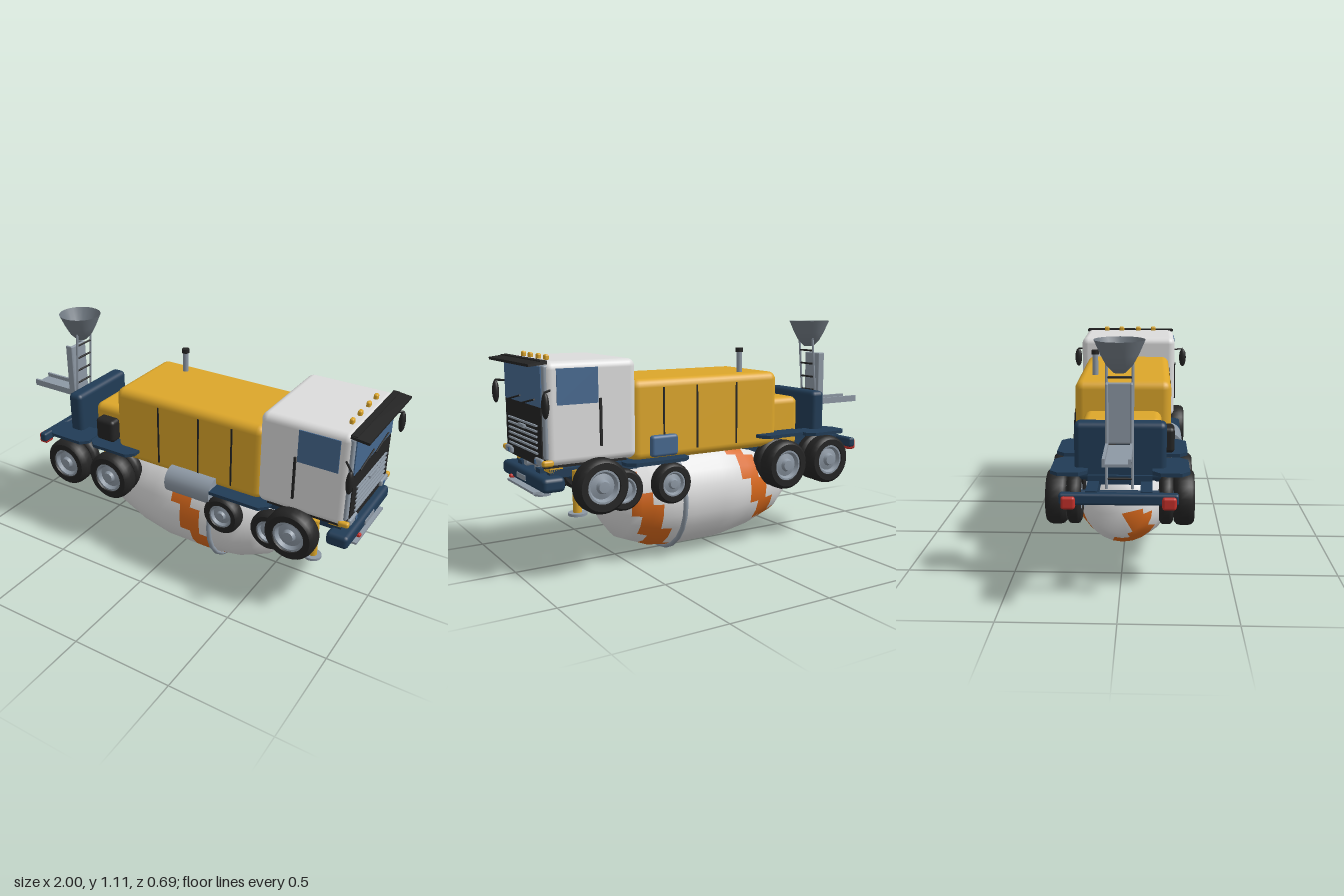
import * as THREE from 'three';
import { toCreasedNormals } from 'three/addons/utils/BufferGeometryUtils.js';
import { RoundedBoxGeometry } from 'three/addons/geometries/RoundedBoxGeometry.js';

const material = (name, color, side = THREE.FrontSide) => {
  const m = new THREE.MeshStandardMaterial({ color, side });
  m.name = name;
  return m;
};
const white = material('white paint', 0xdcdcdc);
const yellow = material('yellow paint', 0xdca62a);
const navy = material('navy paint', 0x213c56);
const steel = material('steel grey', 0x8d98a4);
const black = material('black rubber', 0x242424);
const orange = material('orange stripe', 0xd9691c);
const glass = material('blue glass', 0x46688f);
const red = material('red lamp', 0xc4302a);
const sheet = material('sheet metal', 0x707982, THREE.DoubleSide);

export function createModel() {
  const model = new THREE.Group();
  model.name = 'mixerTruck';

  const add = (name, geometry, mat, x = 0, y = 0, z = 0, parent = model) => {
    const mesh = new THREE.Mesh(geometry, mat);
    mesh.name = name;
    mesh.position.set(x, y, z);
    parent.add(mesh);
    return mesh;
  };
  // boxes are given by their limits on each axis
  const box = (name, mat, [x0, x1], [y0, y1], [z0, z1], r = 0) => {
    const s = [x1 - x0, y1 - y0, z1 - z0];
    const g = r ? new RoundedBoxGeometry(...s, 3, r) : new THREE.BoxGeometry(...s);
    return add(name, g, mat, (x0 + x1) / 2, (y0 + y1) / 2, (z0 + z1) / 2);
  };
  const rod = (name, mat, a, b, r, sides = 8) => {
    const p = new THREE.Vector3(...a), q = new THREE.Vector3(...b);
    const mesh = add(name, new THREE.CylinderGeometry(r, r, p.distanceTo(q), sides), mat);
    mesh.position.copy(p).lerp(q, 0.5);
    mesh.quaternion.setFromUnitVectors(new THREE.Vector3(0, 1, 0), q.sub(p).normalize());
    return mesh;
  };
  const profile = (pts) => pts.map(([r, h]) => new THREE.Vector2(r, h));
  const both = (fn) => [1, -1].forEach(fn);
  const span = (s, a, b) => (s > 0 ? [a, b] : [-b, -a]);

  // Mixing drum with a stepped spiral stripe
  const keys = [[-0.48, 0], [-0.479, 0.1], [-0.37, 0.18], [-0.2, 0.235], [-0.03, 0.265], [0.25, 0.267],
    [0.36, 0.25], [0.5, 0.195], [0.56, 0.12], [0.585, 0.05], [0.59, 0]];
  const pts = [];
  keys.forEach(([x, r], i) => {
    pts.push([r, x]);
    if (i === keys.length - 1) return;
    const [x1, r1] = keys[i + 1];
    const n = Math.max(1, Math.round((x1 - x) / 0.055));
    for (let k = 1; k < n; k++) pts.push([r + (r1 - r) * k / n, x + (x1 - x) * k / n]);
  });
  const seg = 24, rows = pts.length - 1, pitch = 0.65;
  const drum = new THREE.LatheGeometry(profile(pts), seg).rotateZ(-Math.PI / 2);
  const plain = [], striped = [], src = drum.index.array;
  for (let i = 0; i < seg; i++) for (let j = 0; j < rows; j++) {
    const d = (pts[j][1] + pts[j + 1][1]) / 2 - 0.13 - pitch * (i + 0.5) / seg;
    const off = Math.abs(d - pitch * Math.round(d / pitch));
    const k = (i * rows + j) * 6;
    (off < 0.06 ? striped : plain).push(...src.slice(k, k + 6));
  }
  drum.setIndex([...plain, ...striped]);
  drum.addGroup(0, plain.length, 0);
  drum.addGroup(plain.length, striped.length, 1);
  add('drum', drum, [white, orange], 0, 0.292, 0);
  add('drumRing', new THREE.TorusGeometry(0.272, 0.012, 8, 24).rotateY(Math.PI / 2), steel, 0.255, 0.292, 0);

  // Main body and rear housing
  box('body', yellow, [-0.315, 0.505], [0.5, 0.88], [-0.225, 0.225], 0.04);
  box('rearHousing', yellow, [-0.485, -0.28], [0.48, 0.74], [-0.18, 0.18], 0.035);
  both((s) => [-0.06, 0.165, 0.345].forEach((x) =>
    box('bodySeam', black, [x - 0.004, x + 0.004], [0.54, 0.84], span(s, 0.222, 0.229))));
  rod('exhaustPipe', steel, [-0.135, 0.87, -0.14], [-0.135, 0.99, -0.14], 0.014, 16);
  rod('exhaustCap', black, [-0.135, 0.98, -0.14], [-0.135, 1.0, -0.14], 0.019, 16);
  box('batteryBox', black, [-0.44, -0.33], [0.57, 0.69], [0.17, 0.24], 0.02);
  add('airTank', new THREE.CylinderGeometry(0.07, 0.07, 0.25, 24).rotateZ(Math.PI / 2), steel, 0.14, 0.482, 0.225);
  box('toolBox', glass, [0.28, 0.42], [0.52, 0.62], [-0.25, -0.2], 0.015);

  // Chassis
  both((s) => {
    box('chassisRail', navy, [-0.8, 0.92], [0.455, 0.505], span(s, 0.09, 0.14));
    box('sideSill', navy, [0.28, 0.9], [0.475, 0.51], span(s, 0.17, 0.21));
  });
  box('rearDeck', navy, [-0.66, -0.48], [0.49, 0.53], [-0.14, 0.14]);
  box('rearCabinet', navy, [-0.645, -0.565], [0.5, 0.76], [-0.2, 0.2], 0.025);
  box('rearBumper', navy, [-0.825, -0.785], [0.45, 0.5], [-0.25, 0.25], 0.012);
  both((s) => box('tailLamp', red, [-0.84, -0.79], [0.435, 0.49], span(s, 0.18, 0.24), 0.012));

  // Wheels with a dished hub, built around +z and turned for the other side
  const tyre = toCreasedNormals(new THREE.LatheGeometry(profile([
    [0.6, 0.05], [0.6, -0.5], [0.85, -0.5], [0.97, -0.36], [1, -0.2], [1, 0.2], [0.97, 0.36], [0.87, 0.5], [0.63, 0.5], [0.6, 0.35], [0.6, 0.05],
  ]), 28).rotateX(Math.PI / 2), 0.6);
  const hub = toCreasedNormals(new THREE.LatheGeometry(profile([
    [0, -0.4], [0.62, -0.4], [0.62, 0.42], [0.54, 0.42], [0.46, 0.22], [0.26, 0.3], [0.2, 0.48], [0, 0.5],
  ]), 24).rotateX(Math.PI / 2), 0.6);
  const wheel = (x, y, z, r, w, s) => {
    const g = new THREE.Group();
    g.name = 'wheel';
    add('tyre', tyre, black, 0, 0, 0, g);
    add('hub', hub, steel, 0, 0, 0, g);
    g.scale.set(r, r, w);
    g.position.set(x, y, z * s);
    if (s < 0) g.rotation.y = Math.PI;
    model.add(g);
  };
  both((s) => {
    for (const x of [-0.59, -0.315]) {
      wheel(x, 0.415, 0.278, 0.124, 0.088, s);
      wheel(x, 0.415, 0.2, 0.122, 0.06, s);
    }
    wheel(0.695, 0.43, 0.275, 0.125, 0.092, s);
    wheel(0.33, 0.395, 0.26, 0.096, 0.07, s);
    wheel(0.58, 0.395, 0.255, 0.096, 0.07, s);
  });
  for (const x of [-0.59, -0.315, 0.695]) rod('axle', navy, [x, 0.42, -0.25], [x, 0.42, 0.25], 0.022, 12);

  // Mudguards: flat plates with cut corners
  const guard = (x0, x1, y, z0, z1, s) => {
    const c = 0.035;
    const shape = new THREE.Shape(profile([[x0 + c, z0], [x1 - c, z0], [x1, z0 + c], [x1, z1 - c],
      [x1 - c, z1], [x0 + c, z1], [x0, z1 - c], [x0, z0 + c]].map(([x, z]) => [x, z * s])));
    const g = new THREE.ExtrudeGeometry(shape, { depth: 0.016, bevelEnabled: false }).rotateX(Math.PI / 2);
    add('mudguard', g, navy, 0, y, 0);
  };
  both((s) => {
    guard(-0.72, -0.47, 0.56, 0.14, 0.3, s);
    guard(-0.45, -0.18, 0.572, 0.14, 0.3, s);
    guard(0.23, 0.56, 0.512, 0.18, 0.29, s);
  });

  // Support legs
  both((s) => [-0.39, 0.78].forEach((x) => {
    rod('supportLeg', yellow, [x, 0.31, 0.215 * s], [x, 0.5, 0.215 * s], 0.02, 16);
    rod('supportFoot', steel, [x, 0.297, 0.215 * s], [x, 0.309, 0.215 * s], 0.042, 16);
  }));

  // Cab
  box('cab', white, [0.5, 0.93], [0.53, 0.98], [-0.26, 0.26], 0.035);
  box('cabFrame', steel, [0.9, 0.934], [0.56, 0.965], [-0.25, 0.25], 0.01);
  box('windscreen', glass, [0.931, 0.939], [0.785, 0.958], [-0.23, 0.23]);
  box('frontPanel', black, [0.931, 0.939], [0.56, 0.785], [-0.225, 0.225]);
  for (let i = 0; i < 6; i++) {
    const y = 0.582 + i * 0.024;
    box('grilleBar', steel, [0.936, 0.947], [y - 0.004, y + 0.004], [-0.18, 0.18]);
  }
  box('grilleBadge', steel, [0.938, 0.95], [0.674, 0.69], [-0.04, 0.04]);
  const visor = box('sunVisor', black, [0.92, 1.0], [0.966, 0.978], [-0.26, 0.26]);
  visor.rotation.z = -0.12;
  box('visorRoofStrip', black, [0.915, 0.945], [0.968, 0.985], [-0.255, 0.255]);
  for (const z of [-0.14, -0.05, 0.05, 0.14]) box('roofLamp', yellow, [0.865, 0.885], [0.975, 1.003], [z - 0.014, z + 0.014], 0.008);
  for (const z of [0.17, -0.01]) rod('wiper', black, [0.944, 0.785, z], [0.944, 0.815, z - 0.155], 0.004);
  both((s) => {
    box('sideWindow', glass, [0.69, 0.88], [0.795, 0.95], span(s, 0.256, 0.264));
    box('doorHandle', black, [0.676, 0.686], [0.605, 0.815], span(s, 0.26, 0.27));
    rod('mirrorArm', black, [0.91, 0.86, 0.26 * s], [0.955, 0.86, 0.32 * s], 0.005);
    rod('mirrorStem', black, [0.955, 0.86, 0.32 * s], [0.955, 0.8, 0.32 * s], 0.005);
    add('mirror', new THREE.SphereGeometry(1, 16, 10).scale(0.016, 0.055, 0.021), black, 0.955, 0.805, 0.322 * s);
    box('headlamp', steel, [0.9, 0.95], [0.53, 0.565], span(s, 0.15, 0.235), 0.01);
    box('headlampLens', glass, [0.949, 0.953], [0.538, 0.557], span(s, 0.162, 0.182));
    box('turnSignal', yellow, [0.9, 0.95], [0.535, 0.562], span(s, 0.238, 0.266), 0.01);
    rod('towEye', steel, [0.86, 0.505, 0.07 * s], [0.91, 0.505, 0.07 * s], 0.025, 16);
    box('cabMount', yellow, [0.84, 0.9], [0.495, 0.53], span(s, 0.13, 0.21));
  });
  box('cabSkirt', black, [0.55, 0.935], [0.525, 0.565], [-0.245, 0.245]);

  // Front bumper
  box('frontBumper', navy, [0.85, 0.955], [0.42, 0.485], [-0.265, 0.265], 0.02);
  box('numberPlate', steel, [0.95, 0.959], [0.44, 0.463], [-0.055, 0.055]);
  box('bumperLamp', red, [0.94, 0.968], [0.422, 0.438], [0.117, 0.14], 0.006);
  box('bumperStep', steel, [0.86, 0.965], [0.402, 0.412], [-0.17, 0.17]);

  // Loading hopper and ladder
  add('hopper', new THREE.LatheGeometry(profile([[0.025, 0.985], [0.055, 1.015], [0.08, 1.06], [0.107, 1.122]]), 24), sheet, -0.695, 0, 0);
  both((s) => rod('ladderRail', steel, [-0.72, 0.49, 0.055 * s], [-0.675, 1.04, 0.055 * s], 0.006));
  for (let i = 0; i < 7; i++) {
    const t = 0.08 + i * 0.13;
    const x = -0.72 + 0.045 * t, y = 0.49 + 0.55 * t;
    rod('ladderRung', black, [x, y, -0.055], [x, y, 0.055], 0.005);
  }

  // Discharge chutes: shallow troughs, one level and one stowed upright
  box('chuteFloor', steel, [-1.0, -0.7], [0.667, 0.68], [-0.055, 0.055]);
  box('stowedChuteFloor', steel, [-0.735, -0.718], [0.69, 0.95], [-0.055, 0.055], 0.008);
  both((s) => {
    box('chuteWall', steel, [-1.0, -0.72], [0.667, 0.7], span(s, 0.045, 0.057));
    box('stowedChuteWall', steel, [-0.76, -0.72], [0.69, 0.95], span(s, 0.045, 0.057), 0.005);
  });
  return model;
}
